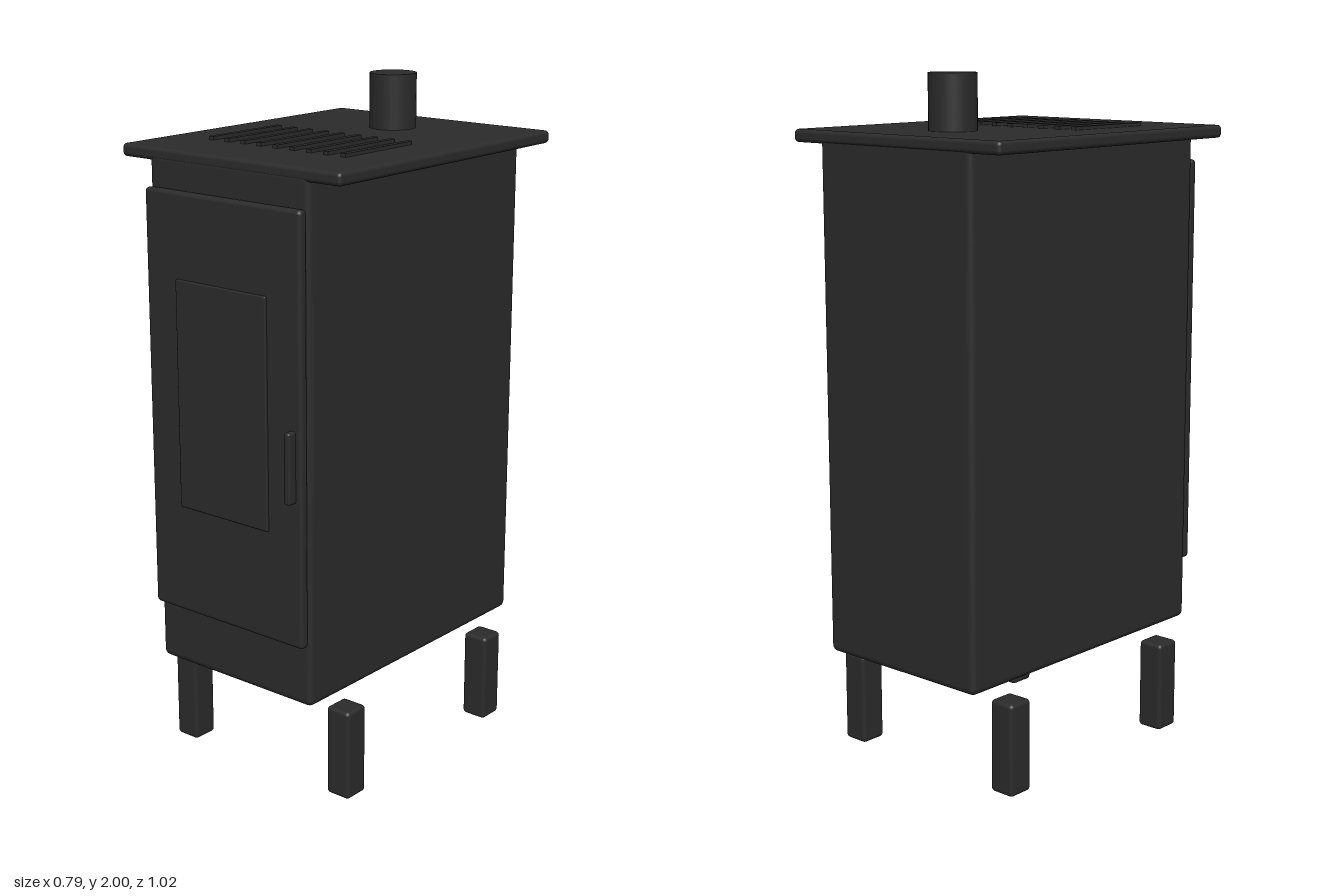
import * as THREE from 'three';
import { RoundedBoxGeometry } from 'three/addons/geometries/RoundedBoxGeometry.js';

export function createModel() {
  const stove = new THREE.Group();
  stove.name = 'stove';
  const iron = new THREE.MeshStandardMaterial({ color: 0x2b2b2b });
  iron.name = 'cast iron';

  // Softened block given by its limits on each axis
  function block(name, [x0, x1], [y0, y1], [z0, z1], radius) {
    const size = [x1 - x0, y1 - y0, z1 - z0];
    const geometry = radius
      ? new RoundedBoxGeometry(...size, 3, radius)
      : new THREE.BoxGeometry(...size);
    const mesh = new THREE.Mesh(geometry, iron);
    mesh.name = name;
    mesh.position.set((x0 + x1) / 2, (y0 + y1) / 2, (z0 + z1) / 2);
    stove.add(mesh);
  }

  // Firebox and overhanging top plate
  block('body', [-0.29, 0.29], [0.315, 1.825], [-0.507, 0.455], 0.02);
  block('topPlate', [-0.395, 0.395], [1.803, 1.84], [-0.51, 0.455], 0.012);

  // Door with window panel and handle
  block('door', [-0.283, 0.283], [0.5, 1.733], [0.452, 0.483], 0.012);
  block('doorWindow', [-0.165, 0.165], [0.825, 1.49], [0.478, 0.491], 0.004);
  block('doorHandle', [0.243, 0.264], [0.928, 1.133], [0.475, 0.51], 0.007);

  // Raised vent slats on the top
  for (let i = -4; i <= 4; i++) {
    const x = i * 0.06;
    block('ventSlat', [x - 0.009, x + 0.009], [1.835, 1.85], [-0.037, 0.255], 0);
  }

  // Flue pipe
  const flue = new THREE.Mesh(new THREE.CylinderGeometry(0.069, 0.069, 0.17, 32), iron);
  flue.name = 'fluePipe';
  flue.position.set(0, 1.915, -0.27);
  stove.add(flue);

  // Four free-standing feet set just below the body
  for (const x of [-0.3, 0.3]) {
    for (const z of [0.31, -0.365]) {
      block('leg', [x - 0.041, x + 0.041], [0, 0.275], [z - 0.041, z + 0.041], 0.012);
    }
  }

  return stove;
}
